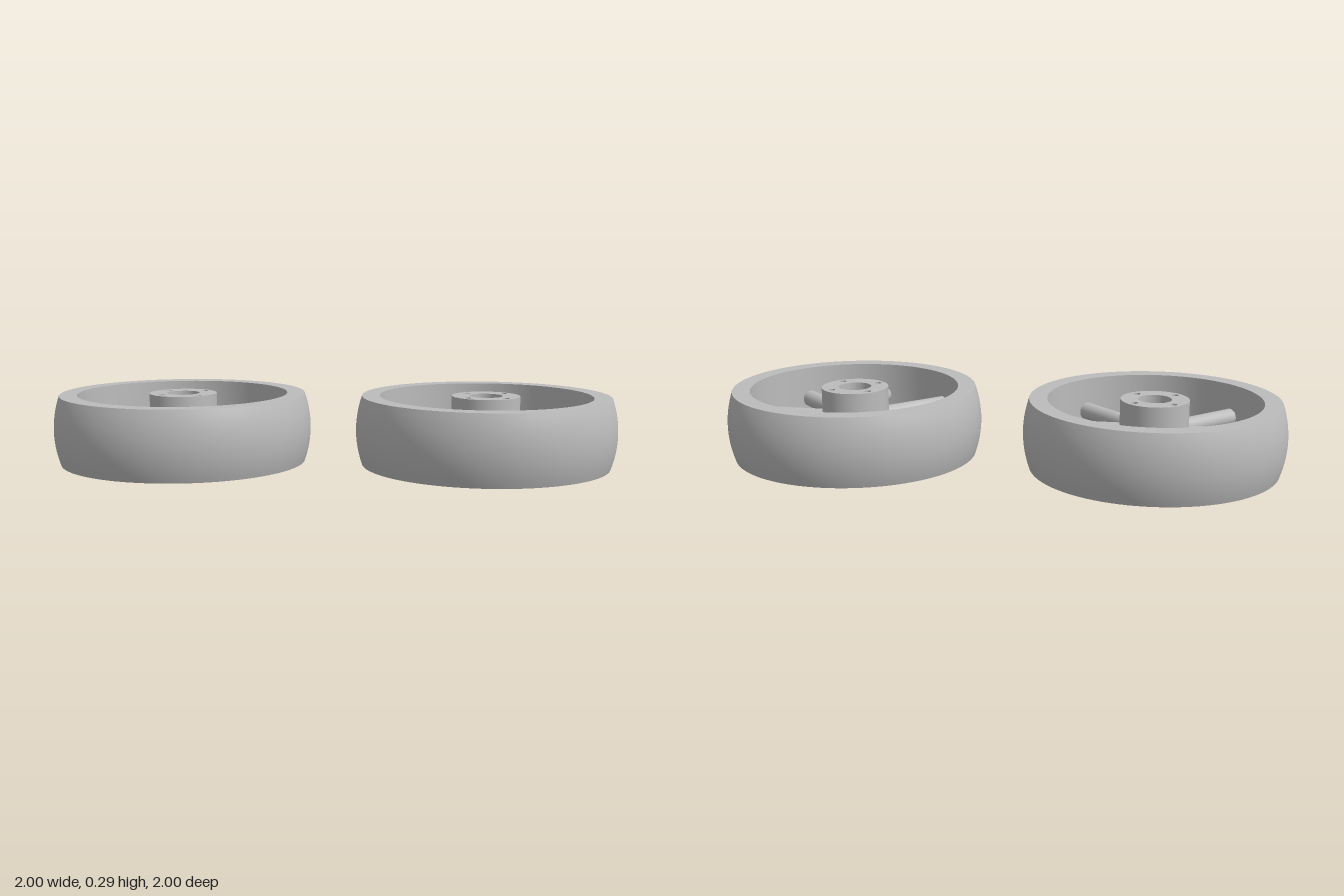
import * as THREE from 'three';
import { toCreasedNormals } from 'three/addons/utils/BufferGeometryUtils.js';

const H = 0.29, OUTER = 0.545, EDGE = 0.52, SEAM = 0.508, INNER = 0.445;
const HUB = 0.143, BORE = 0.07, SPOKE = 0.037;

// Revolve a closed counter-clockwise (radius, height) profile
function ring(points) {
  const pts = [...points, points[0]].map(([r, y]) => new THREE.Vector2(r, y));
  return toCreasedNormals(new THREE.LatheGeometry(pts, 96), 0.5);
}

function circleHole(x, y, r) {
  return new THREE.Path().absarc(x, y, r, 0, Math.PI * 2, true);
}

// Hub cylinder with a central bore and four bolt holes
function hubGeometry() {
  const shape = new THREE.Shape().absarc(0, 0, HUB, 0, Math.PI * 2, false);
  shape.holes.push(circleHole(0, 0, BORE));
  for (let i = 0; i < 4; i++) {
    const a = i * Math.PI / 2;
    shape.holes.push(circleHole(Math.cos(a) * 0.112, Math.sin(a) * 0.112, 0.015));
  }
  const geo = new THREE.ExtrudeGeometry(shape, { depth: H, bevelEnabled: false, curveSegments: 32 });
  geo.rotateX(-Math.PI / 2);
  return toCreasedNormals(geo, 0.5);
}

export function createModel() {
  const model = new THREE.Group();
  model.name = 'wheelPair';
  const metal = new THREE.MeshStandardMaterial({ color: 0xbcbcbc });
  metal.name = 'greyMetal';

  // Crowned tread, bulging outward at mid height
  const tread = [];
  for (let i = 0; i <= 14; i++) {
    const t = i / 14 * 2 - 1;
    tread.push([OUTER - (OUTER - EDGE) * t * t, H * i / 14]);
  }
  const treadGeo = ring([...tread, [SEAM, H], [SEAM, 0]]);
  const rimGeo = ring([[SEAM, 0], [SEAM, H], [INNER, H], [INNER, 0]]);
  const hubGeo = hubGeometry();

  // Round spoke along +x, its ends buried in the hub and rim
  const start = HUB - 0.015, end = INNER + 0.015;
  const spokeGeo = new THREE.CylinderGeometry(SPOKE, SPOKE, end - start, 32, 1, true);
  spokeGeo.rotateZ(-Math.PI / 2);
  spokeGeo.translate((start + end) / 2, H / 2, 0);

  function add(parent, geometry, name) {
    const mesh = new THREE.Mesh(geometry, metal);
    mesh.name = name;
    parent.add(mesh);
    return mesh;
  }

  // Two identical wheels lying flat on a diagonal
  for (const [side, name] of [[1, 'leftWheel'], [-1, 'rightWheel']]) {
    const wheel = new THREE.Group();
    wheel.name = name;
    add(wheel, treadGeo, 'tread');
    add(wheel, rimGeo, 'rim');
    add(wheel, hubGeo, 'hub');
    for (let i = 0; i < 8; i++) add(wheel, spokeGeo, 'spoke').rotation.y = i * Math.PI / 4;
    wheel.position.set(side * 0.455, 0, -side * 0.455);
    model.add(wheel);
  }
  return model;
}
